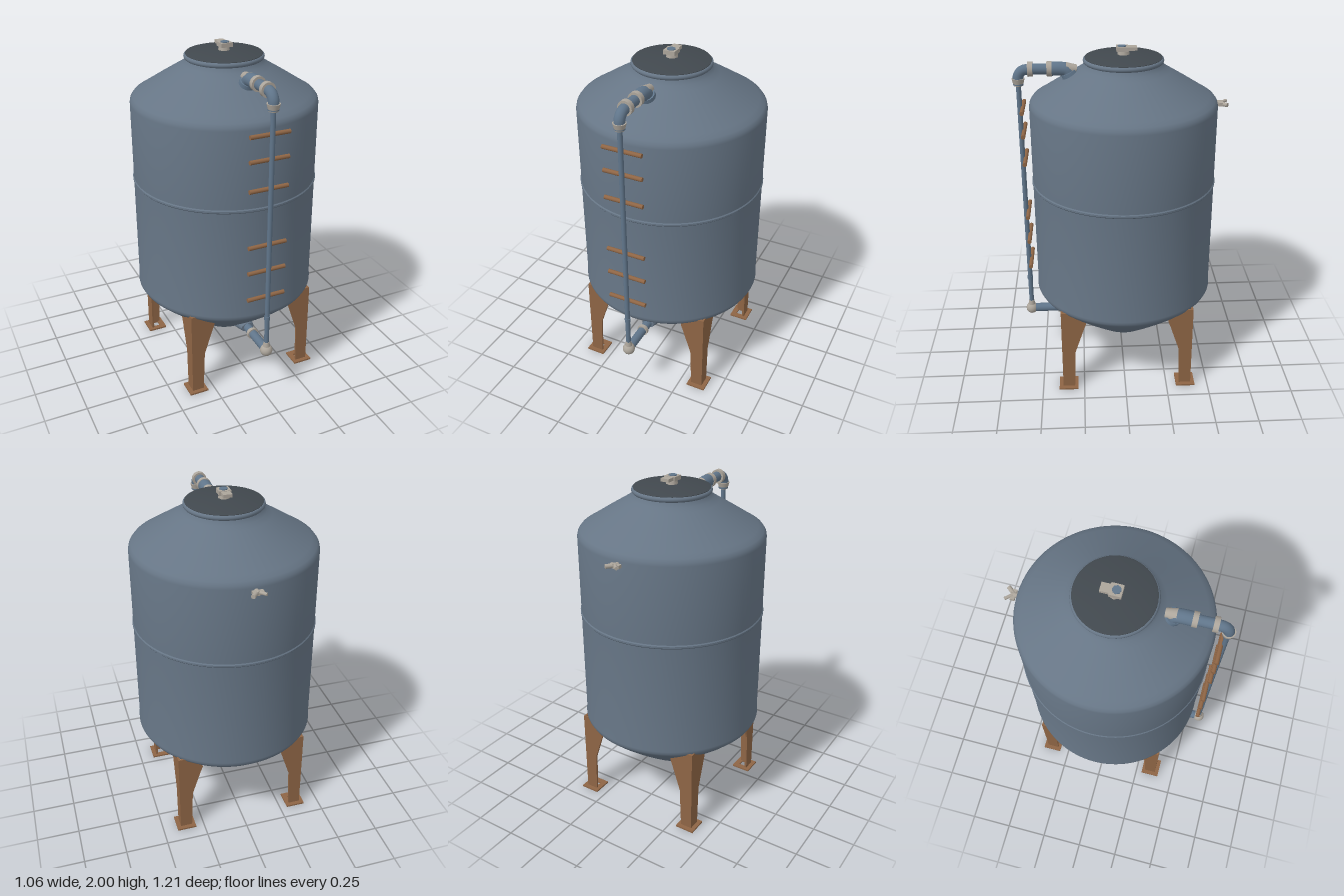
import * as THREE from 'three';
import { toCreasedNormals } from 'three/addons/utils/BufferGeometryUtils.js';

const mat = (name, color, side = THREE.FrontSide) => {
  const m = new THREE.MeshStandardMaterial({ color, side });
  m.name = name;
  return m;
};
const V = (x, y, z) => new THREE.Vector3(x, y, z);

export function createModel() {
  const steel = mat('blueGreySteel', 0x667585, THREE.DoubleSide);
  const pipeBlue = mat('pipeBlue', 0x60758a);
  const dark = mat('darkLid', 0x41484e);
  const rust = mat('rustBrown', 0x8e6545);
  const pale = mat('paleFitting', 0xaca59b);

  const root = new THREE.Group();
  root.name = 'storageTank';
  const add = (name, geo, material, x = 0, y = 0, z = 0, parent = root) => {
    const m = new THREE.Mesh(geo, material);
    m.name = name;
    m.position.set(x, y, z);
    parent.add(m);
    return m;
  };
  const lathe = (pts, seg = 64) => toCreasedNormals(
    new THREE.LatheGeometry(pts.map(p => new THREE.Vector2(...p)), seg), 0.6);
  // Straight rod between two points
  const rod = (name, a, b, r, material, r2 = r) => {
    const m = add(name, new THREE.CylinderGeometry(r2, r, a.distanceTo(b), 20), material);
    m.position.copy(a).add(b).multiplyScalar(0.5);
    m.quaternion.setFromUnitVectors(V(0, 1, 0), b.clone().sub(a).normalize());
    return m;
  };

  // Tank shell: dished bottom, straight wall with seam, conical roof
  const cz = -0.007;
  add('tankShell', lathe([
    [0, 0.198], [0.07, 0.199], [0.11, 0.206], [0.175, 0.236], [0.28, 0.318], [0.39, 0.407],
    [0.47, 0.475], [0.52, 0.522], [0.53, 0.54], [0.53, 0.555], [0.527, 0.575],
    [0.527, 1.212], [0.532, 1.218], [0.532, 1.228], [0.527, 1.234],
    [0.527, 1.675], [0.523, 1.693], [0.51, 1.71], [0.48, 1.728],
    [0.37, 1.798], [0.26, 1.865], [0.23, 1.885], [0.213, 1.905], [0.205, 1.925],
  ], 96), steel, 0, 0, cz);

  // Manhole rim and dark lid
  const rim = add('manholeRim', new THREE.TorusGeometry(0.208, 0.015, 12, 64), steel, 0, 1.922, cz);
  rim.rotation.x = Math.PI / 2;
  add('lid', lathe([[0.2, 1.91], [0.213, 1.93], [0.213, 1.938], [0.2, 1.942], [0.05, 1.952], [0, 1.953]]),
    dark, 0, 0, cz);

  // Lid handle: stem with blue cap and a flat lever
  add('handleStem', new THREE.CylinderGeometry(0.028, 0.035, 0.035, 8), pale, 0, 1.964, cz);
  add('handleCollar', new THREE.BoxGeometry(0.068, 0.024, 0.065), pale, 0, 1.984, 0);
  add('handleLever', new THREE.BoxGeometry(0.05, 0.018, 0.07), pale, 0, 1.985, -0.045);
  add('handleCap', new THREE.CylinderGeometry(0.024, 0.024, 0.006, 8), pipeBlue, 0, 1.997, 0.002);

  // Overflow pipe: elbow out of the roof, over the edge and down
  const tube = (name, pts, r) => add(name,
    new THREE.TubeGeometry(new THREE.CatmullRomCurve3(pts), 40, r, 20), pipeBlue);
  tube('roofElbow', [V(0, 1.79, 0.285), V(0, 1.835, 0.288), V(0, 1.868, 0.305), V(0, 1.876, 0.34), V(0, 1.876, 0.4)], 0.038);
  tube('overEdgePipe', [V(0, 1.876, 0.38), V(0, 1.876, 0.44), V(0, 1.876, 0.51), V(0, 1.868, 0.548),
    V(0, 1.842, 0.57), V(0, 1.79, 0.573)], 0.029);
  rod('roofFlange', V(0, 1.80, 0.265), V(0, 1.86, 0.295), 0.056, pipeBlue, 0.046);
  rod('elbowCap', V(0, 1.872, 0.25), V(0, 1.878, 0.31), 0.025, pale, 0.034);
  for (const z of [0.4, 0.505])
    rod('pipeCollar', V(0, 1.876, z - 0.014), V(0, 1.876, z + 0.014), 0.041, pale);
  rod('downpipeCollar', V(0, 1.785, 0.573), V(0, 1.825, 0.573), 0.026, pale, 0.036);
  rod('downpipe', V(0, 0.33, 0.573), V(0, 1.8, 0.573), 0.014, pipeBlue);
  rod('downpipeJoint', V(0, 0.54, 0.573), V(0, 0.565, 0.573), 0.017, pipeBlue);

  // Bottom outlet
  add('outletBall', new THREE.SphereGeometry(0.036, 20, 14), pale, 0, 0.328, 0.573);
  rod('outletNeck', V(0, 0.34, 0.573), V(0, 0.385, 0.573), 0.024, pale, 0.016);
  rod('outletPipe', V(0, 0.328, 0.2), V(0, 0.328, 0.57), 0.026, pipeBlue);
  rod('outletCollar', V(0, 0.328, 0.385), V(0, 0.328, 0.405), 0.034, pale);
  const flange = rod('outletFlange', V(0, 0.328, 0.25), V(0, 0.328, 0.33), 0.062, steel, 0.04);
  flange.scale.z = 0.7;

  // Ladder rungs
  for (const y of [0.69, 0.86, 1.02, 1.355, 1.52, 1.657])
    rod('ladderRung', V(-0.118, y, 0.556), V(0.11, y, 0.556), 0.012, rust);

  // Rear spigot: short pipe with two prongs
  rod('spigotPipe', V(-0.01, 1.66, -0.5), V(-0.01, 1.66, -0.57), 0.013, pale);
  rod('spigotNozzle', V(-0.01, 1.66, -0.55), V(0.026, 1.66, -0.592), 0.012, pale);
  rod('spigotLever', V(-0.005, 1.664, -0.55), V(-0.046, 1.664, -0.594), 0.009, pale);
  add('spigotPlate', new THREE.BoxGeometry(0.06, 0.018, 0.025), pale, -0.012, 1.66, -0.555);

  // Legs: two tapering gusset plates joined at the outer corner, on a holed foot
  const t = 0.012;
  const side = new THREE.Shape([[0, 0], [0, 0.535], [-0.14, 0.535], [-0.145, 0.455], [-0.132, 0.42],
    [-0.08, 0.26], [-0.07, 0]].map(p => new THREE.Vector2(...p)));
  const plate = new THREE.ExtrudeGeometry(side, { depth: t, bevelEnabled: false });
  const square = (S, h) => new S([[-h, -h], [h, -h], [h, h], [-h, h]].map(p => new THREE.Vector2(...p)));
  const footShape = square(THREE.Shape, 0.057);
  footShape.holes.push(square(THREE.Path, 0.024));
  const foot = new THREE.ExtrudeGeometry(footShape, { depth: 0.01, bevelEnabled: false }).rotateX(-Math.PI / 2);
  for (let i = 0; i < 4; i++) {
    const pivot = new THREE.Group();
    pivot.name = 'leg';
    pivot.position.set(0.004, 0, -0.01);
    pivot.rotation.y = i * Math.PI / 2;
    const c = 0.388;
    add('legFrontPlate', plate, rust, c, 0, c - t, pivot);
    add('legSidePlate', plate, rust, c, 0, c, pivot).rotation.y = -Math.PI / 2;
    add('foot', foot, rust, c - 0.033, 0, c - 0.033, pivot);
    root.add(pivot);
  }
  return root;
}
